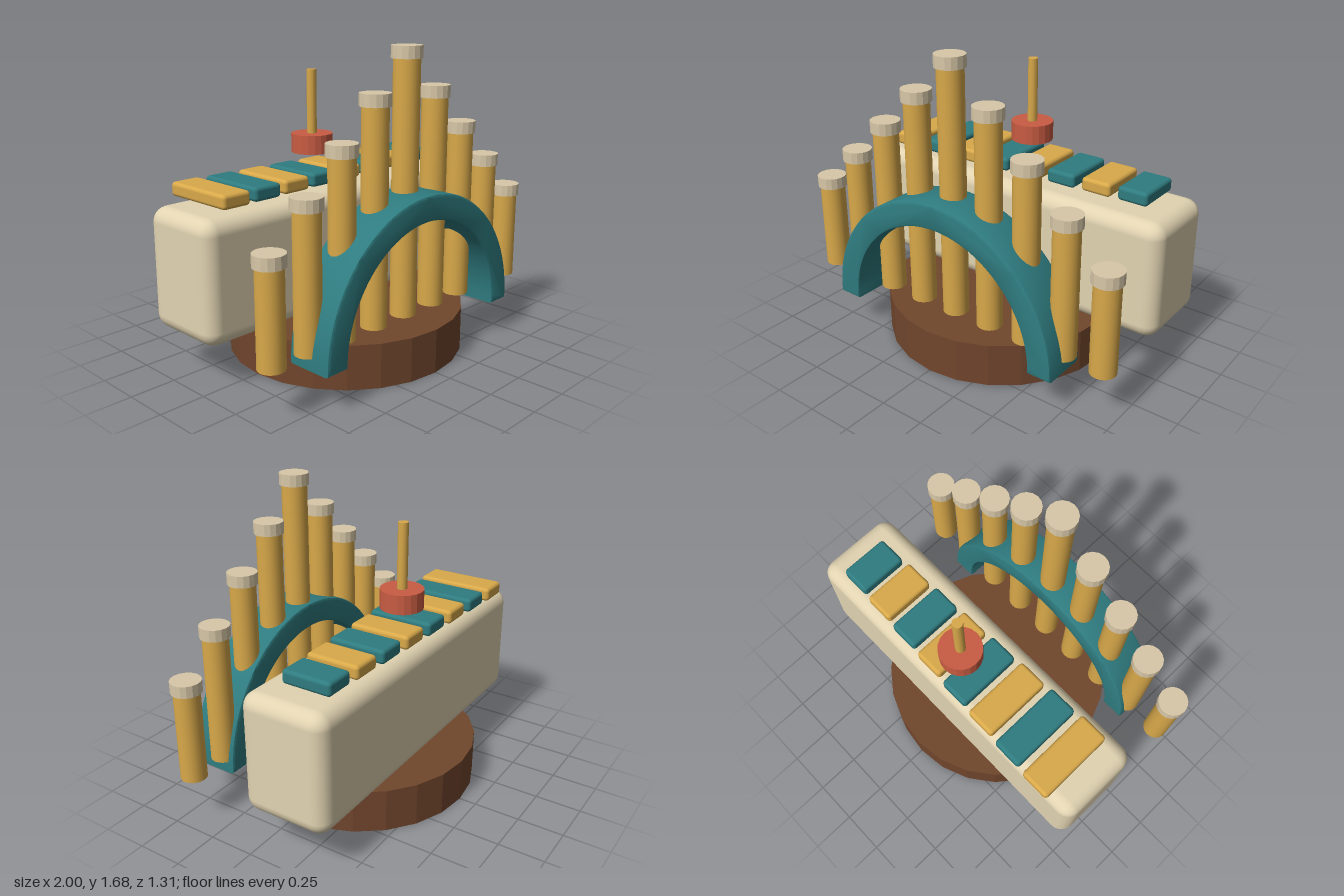
import * as THREE from 'three';
import { toCreasedNormals } from 'three/addons/utils/BufferGeometryUtils.js';
import { RoundedBoxGeometry } from 'three/addons/geometries/RoundedBoxGeometry.js';

const mat = (color, flatShading = false) => new THREE.MeshStandardMaterial({ color, flatShading });

export function createModel() {
  const model = new THREE.Group();
  const gold = mat(0xd9a94a), teal = mat(0x2f7c80), cream = mat(0xe2d4b2);
  const ivory = mat(0xd8c8a8, true), wood = mat(0x71462d, true), red = mat(0xc95c43, true);

  const add = (name, geometry, material, x, y, z, parent = model) => {
    const mesh = new THREE.Mesh(geometry, material);
    mesh.name = name;
    mesh.position.set(x, y, z);
    parent.add(mesh);
    return mesh;
  };
  // Upright cylinder spanning y0 to y1
  const post = (name, r, y0, y1, sides, material, x, z, parent) =>
    add(name, new THREE.CylinderGeometry(r, r, y1 - y0, sides), material, x, (y0 + y1) / 2, z, parent);

  // Round plinth and rounded cabinet
  post('base', 0.655, 0, 0.24, 24, wood, 0, 0);
  add('cabinet', new RoundedBoxGeometry(1.96, 0.65, 0.49, 3, 0.08), cream, 0, 0.56, -0.197);

  // Row of keys, shorter towards the model's left
  const keys = new THREE.Group();
  keys.name = 'keys';
  model.add(keys);
  for (let i = 0; i < 8; i++) {
    const depth = 0.439 - i * 0.023;
    add(`key${i + 1}`, new RoundedBoxGeometry(0.172, 0.076, depth, 3, 0.02),
      i % 2 ? teal : gold, -0.735 + i * 0.21, 0.942, -0.236, keys);
  }

  // Capped pipes, tallest in the middle
  const pipes = new THREE.Group();
  pipes.name = 'pipes';
  model.add(pipes);
  for (let i = -4; i <= 4; i++) {
    const top = 1.676 - Math.abs(i) * 0.2137;
    post(`pipe${i + 5}`, 0.07, 0.265, top - 0.03, 20, gold, i * 0.23, 0.425, pipes);
    post(`pipeCap${i + 5}`, 0.081, top - 0.064, top, 16, ivory, i * 0.23, 0.425, pipes);
  }

  // Half-ring arch around the pipes
  const bevel = 0.015;
  const arc = new THREE.Shape();
  arc.absarc(0, 0, 0.71, 0, Math.PI, false);
  arc.absarc(0, 0, 0.6, Math.PI, 0, true);
  arc.closePath();
  const arch = new THREE.ExtrudeGeometry(arc, {
    depth: 0.26 - 2 * bevel, curveSegments: 32,
    bevelThickness: bevel, bevelSize: bevel, bevelSegments: 2,
  });
  add('arch', toCreasedNormals(arch, 0.6), teal, 0, 0.215, 0.332 + bevel);

  // Floating knob with its stem
  post('knob', 0.117, 1.05, 1.155, 20, red, 0, -0.26);
  post('knobStem', 0.028, 1.1, 1.51, 10, gold, 0, -0.26);

  return model;
}
